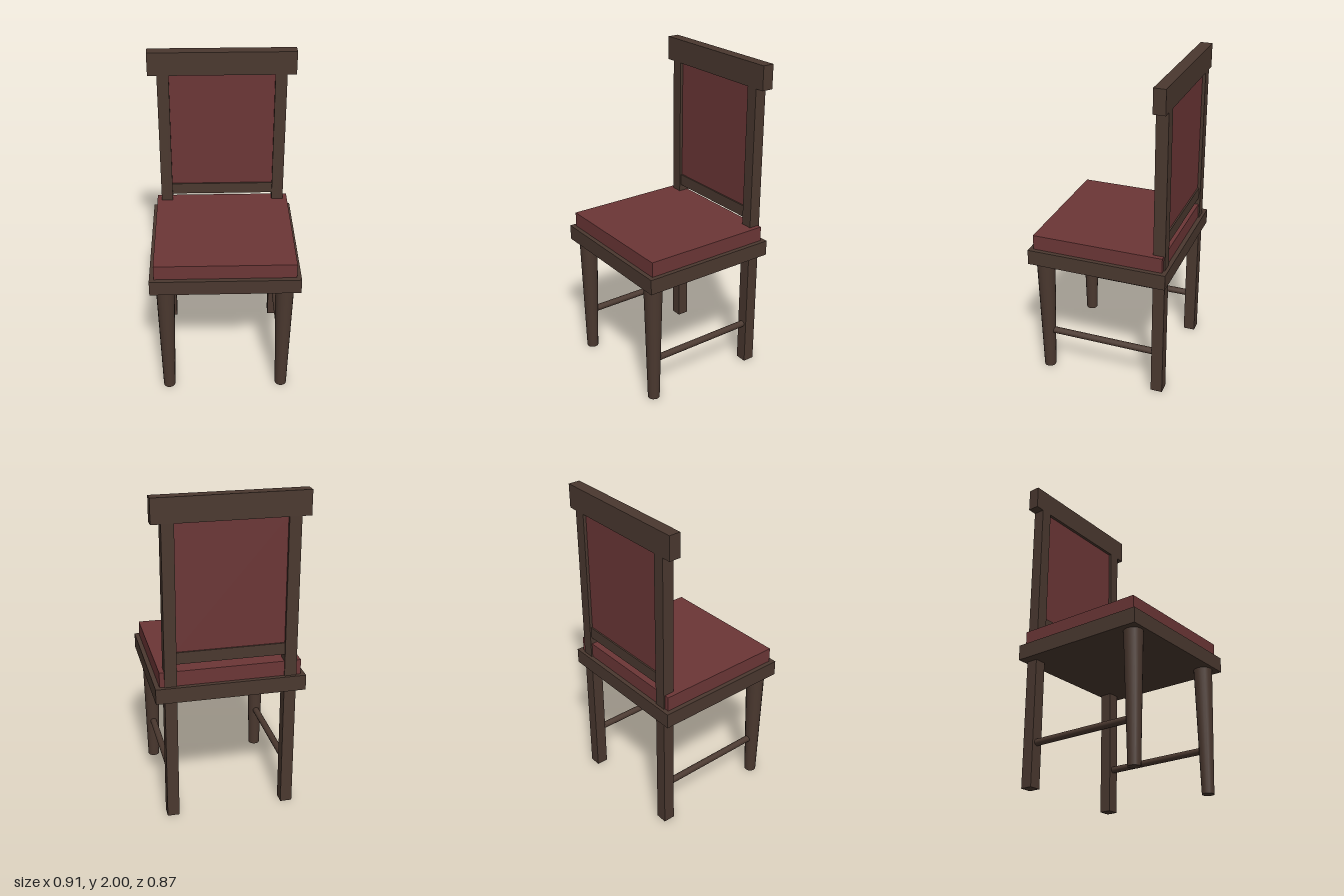
import * as THREE from 'three';

export function createModel() {
  const chair = new THREE.Group();
  chair.name = 'chair';

  const wood = new THREE.MeshStandardMaterial({ color: 0x4a382f });
  wood.name = 'darkWood';
  const fabric = new THREE.MeshStandardMaterial({ color: 0x6b3636 });
  fabric.name = 'redUpholstery';

  const add = (name, geometry, material, x, y, z) => {
    const mesh = new THREE.Mesh(geometry, material);
    mesh.name = name;
    mesh.position.set(x, y, z);
    chair.add(mesh);
    return mesh;
  };
  // Box given by its width, vertical extent and depth
  const box = (name, material, x, width, y0, y1, z, depth) =>
    add(name, new THREE.BoxGeometry(width, y1 - y0, depth), material, x, (y0 + y1) / 2, z);

  const backZ = -0.381;
  const legX = 0.362;
  const legZ = 0.36;

  // Seat
  box('seatFrame', wood, 0, 0.91, 0.785, 0.88, 0, 0.873);
  box('seatCushion', fabric, 0, 0.855, 0.88, 0.973, 0, 0.818);

  // Backrest
  box('topRail', wood, 0, 0.91, 1.853, 2, backZ, 0.073);
  box('lowerRail', wood, 0, 0.655, 1.017, 1.09, backZ, 0.055);
  box('backPanel', fabric, 0, 0.655, 1.09, 1.853, backZ, 0.036);

  // Posts, front legs and side stretchers, mirrored
  for (const [side, s] of [['left', 1], ['right', -1]]) {
    box(side + 'BackPost', wood, s * legX, 0.073, 0, 1.853, backZ, 0.073);
    add(side + 'FrontLeg', new THREE.CylinderGeometry(0.058, 0.037, 0.785, 16), wood,
      s * legX, 0.3925, legZ);
    const stretcher = add(side + 'Stretcher',
      new THREE.CylinderGeometry(0.021, 0.021, legZ - backZ, 12), wood,
      s * legX, 0.27, (legZ + backZ) / 2);
    stretcher.rotation.x = Math.PI / 2;
  }

  return chair;
}
